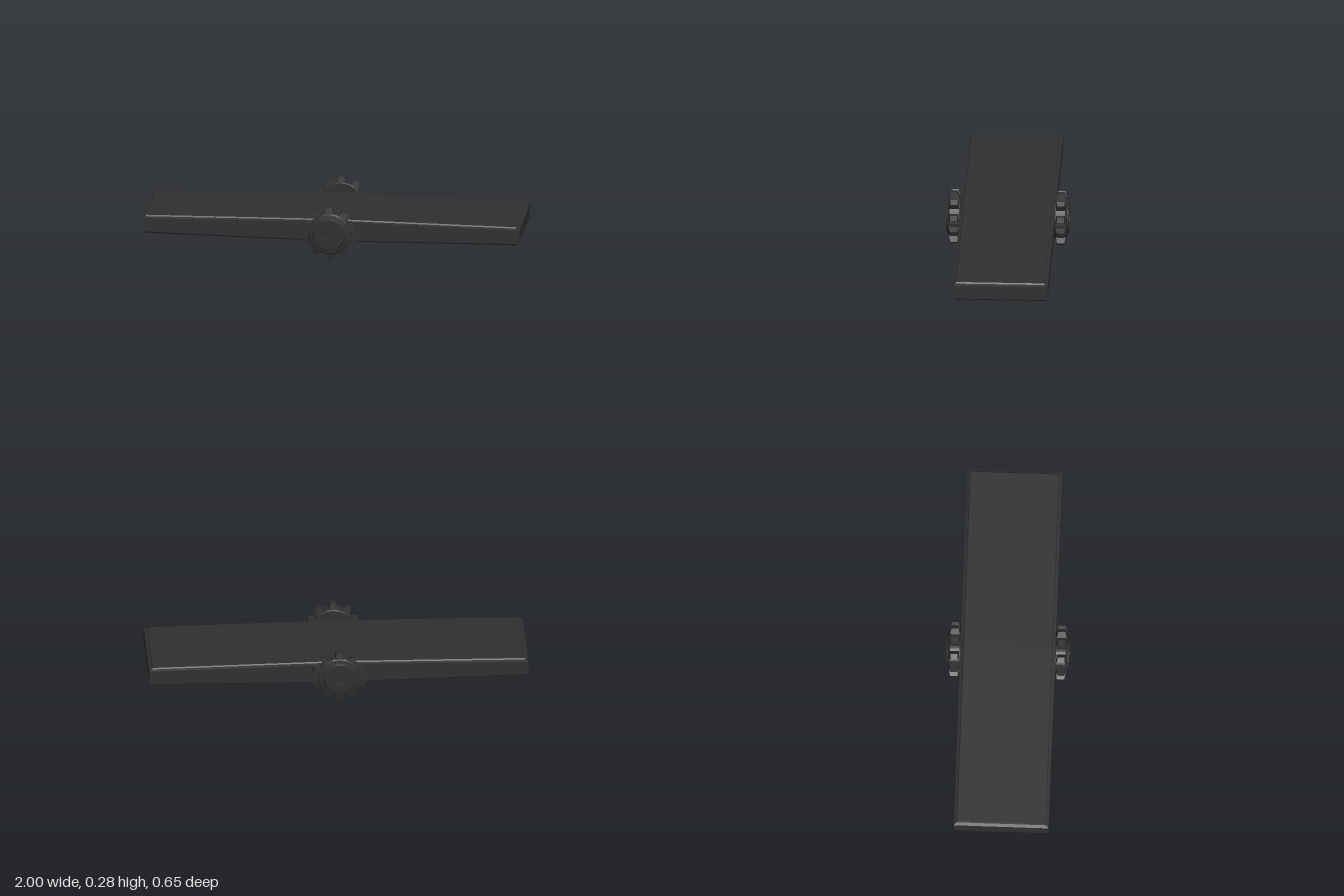
import * as THREE from 'three';

const CY = 0.144; // height of the axle line
const material = new THREE.MeshStandardMaterial({ color: 0x303030, flatShading: true });

function mesh(geometry, name) {
  const m = new THREE.Mesh(geometry, material);
  m.name = name;
  return m;
}

// Plank from stacked rectangular loops, thicker in the middle than at the ends
function plankGeometry() {
  // half length, half width, half height at the ends, half height at the middle
  const rims = [[1, 0.25, 0.037, 0.051], [0.985, 0.236, 0.043, 0.055], [0.98, 0.232, 0.05, 0.0615]];
  const layers = [
    ...[...rims].reverse().map((r) => [...r, -1]),
    ...rims.map((r) => [...r, 1]),
  ];
  const positions = [], index = [];
  const quad = (a, b, c, d) => index.push(a, b, c, a, c, d);
  for (const [x, z, end, mid, s] of layers) {
    for (const [px, pz] of [[-x, -z], [0, -z], [x, -z], [x, z], [0, z], [-x, z]]) {
      positions.push(px, s * (px === 0 ? mid : end), pz);
    }
  }
  for (let l = 0; l < layers.length - 1; l++) {
    for (let i = 0; i < 6; i++) {
      const a = l * 6 + i, b = l * 6 + (i + 1) % 6;
      quad(a, a + 6, b + 6, b);
    }
  }
  const t = (layers.length - 1) * 6;
  quad(t, t + 5, t + 4, t + 1);
  quad(t + 1, t + 4, t + 3, t + 2);
  quad(0, 1, 4, 5);
  quad(1, 2, 3, 4);
  const g = new THREE.BufferGeometry();
  g.setAttribute('position', new THREE.Float32BufferAttribute(positions, 3));
  g.setIndex(index);
  g.computeVertexNormals();
  return g;
}

// Tooth: a block tapering towards its tip
function toothGeometry() {
  const g = new THREE.BoxGeometry(0.05, 0.054, 0.059);
  g.translate(0, 0.115, 0);
  const p = g.attributes.position;
  for (let i = 0; i < p.count; i++) {
    if (p.getY(i) > 0.12) {
      p.setX(i, p.getX(i) * 0.6);
      p.setZ(i, p.getZ(i) * 0.64);
    }
  }
  g.computeVertexNormals();
  return g;
}

// Cog wheel facing +z, with a chamfered disc and a recessed hub
function cogWheel(name) {
  const wheel = new THREE.Group();
  wheel.name = name;
  const profile = [[0, 0.249], [0.108, 0.249], [0.112, 0.254], [0.112, 0.304], [0.106, 0.311],
    [0.086, 0.314], [0.081, 0.323], [0.03, 0.323], [0.027, 0.314], [0, 0.314]]
    .map(([r, z]) => new THREE.Vector2(r, z));
  const disc = new THREE.LatheGeometry(profile, 20);
  disc.rotateX(Math.PI / 2);
  wheel.add(mesh(disc, 'wheelDisc'));
  const tooth = toothGeometry();
  for (let i = 0; i < 10; i++) {
    const t = mesh(tooth, 'tooth');
    t.position.z = 0.2815;
    t.rotation.z = (i * Math.PI) / 5;
    wheel.add(t);
  }
  wheel.position.y = CY;
  return wheel;
}

export function createModel() {
  const model = new THREE.Group();
  const plank = mesh(plankGeometry(), 'plank');
  plank.position.y = CY;
  const front = cogWheel('frontCog');
  const back = cogWheel('backCog');
  back.rotation.y = Math.PI;
  model.add(plank, front, back);
  return model;
}
